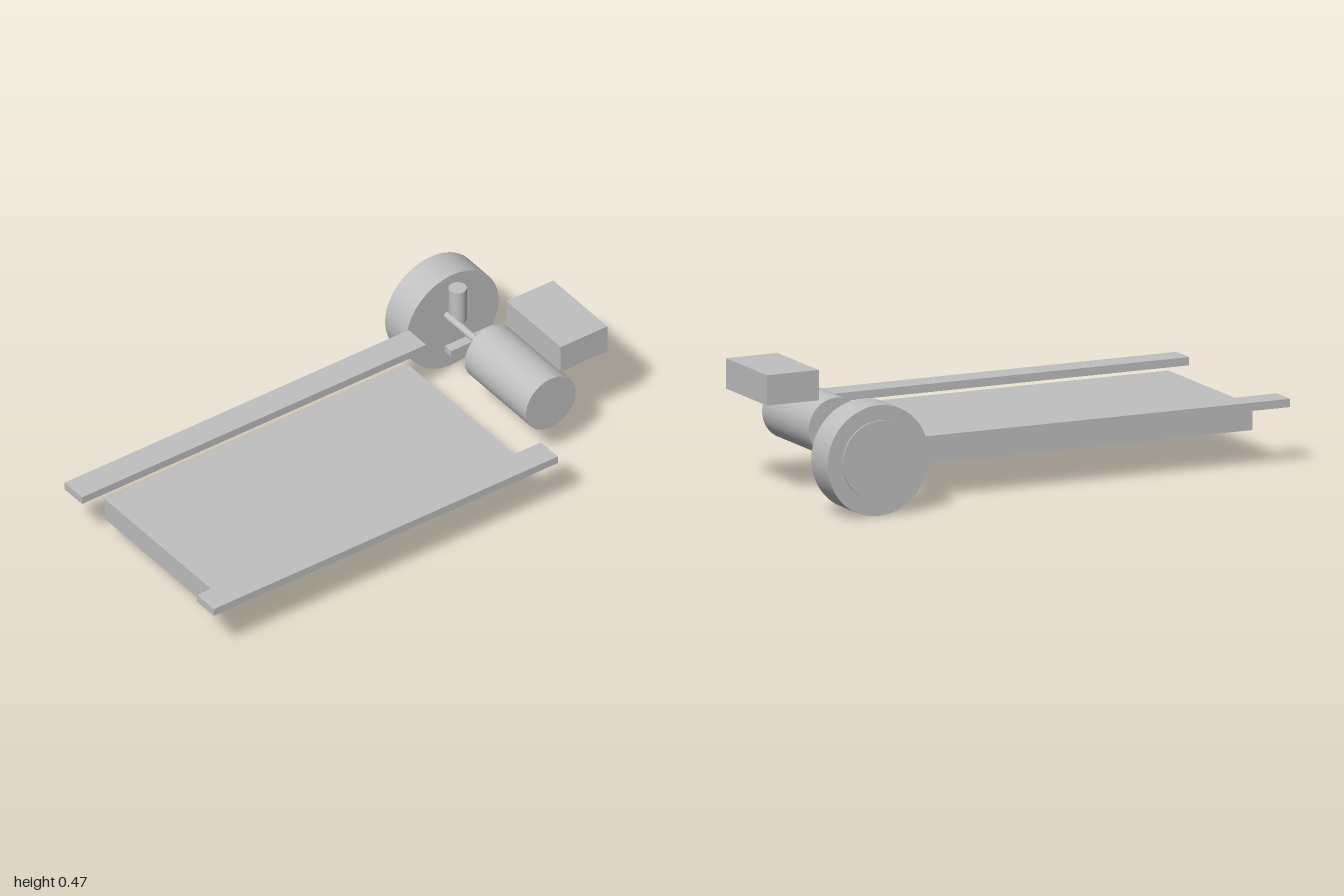
import * as THREE from 'three';

export function createModel() {
  const group = new THREE.Group();
  const grey = new THREE.MeshStandardMaterial({ color: 0xc0c0c0 });
  grey.name = 'light grey';

  const add = (name, geometry, x, y, z) => {
    const mesh = new THREE.Mesh(geometry, grey);
    mesh.name = name;
    mesh.position.set(x, y, z);
    group.add(mesh);
  };

  // Box given by its limits on each axis
  const box = (name, x0, x1, y0, y1, z0, z1) =>
    add(name, new THREE.BoxGeometry(x1 - x0, y1 - y0, z1 - z0),
      (x0 + x1) / 2, (y0 + y1) / 2, (z0 + z1) / 2);

  // Cylinder lying along z between two limits
  const axial = (name, radius, x, y, z0, z1) =>
    add(name, new THREE.CylinderGeometry(radius, radius, z1 - z0, 64).rotateX(Math.PI / 2),
      x, y, (z0 + z1) / 2);

  // Side rails with the flat pack slung between them
  box('backRail', -1, 0.56, 0.218, 0.249, -0.398, -0.289);
  box('frontRail', -1, 0.56, 0.218, 0.249, 0.432, 0.537);
  box('flatPack', -0.908, 0.467, 0.117, 0.21, -0.274, 0.418);

  // Motor, control box and drive shaft
  axial('motor', 0.1125, 0.725, 0.251, -0.119, 0.265);
  box('controlBox', 0.786, 0.998, 0.355, 0.469, -0.098, 0.242);
  axial('driveShaft', 0.0145, 0.724, 0.2525, -0.385, -0.134);

  // Upright strut and cross arm
  add('strut', new THREE.CylinderGeometry(0.034, 0.034, 0.143, 48), 0.757, 0.3055, -0.364);
  box('crossArm', 0.652, 0.866, 0.17, 0.195, -0.3, -0.26);

  // Wheel with a raised hub disc on the outer face
  axial('wheel', 0.208, 0.758, 0.208, -0.532, -0.397);
  axial('hubDisc', 0.148, 0.758, 0.21, -0.538, -0.5);

  return group;
}
